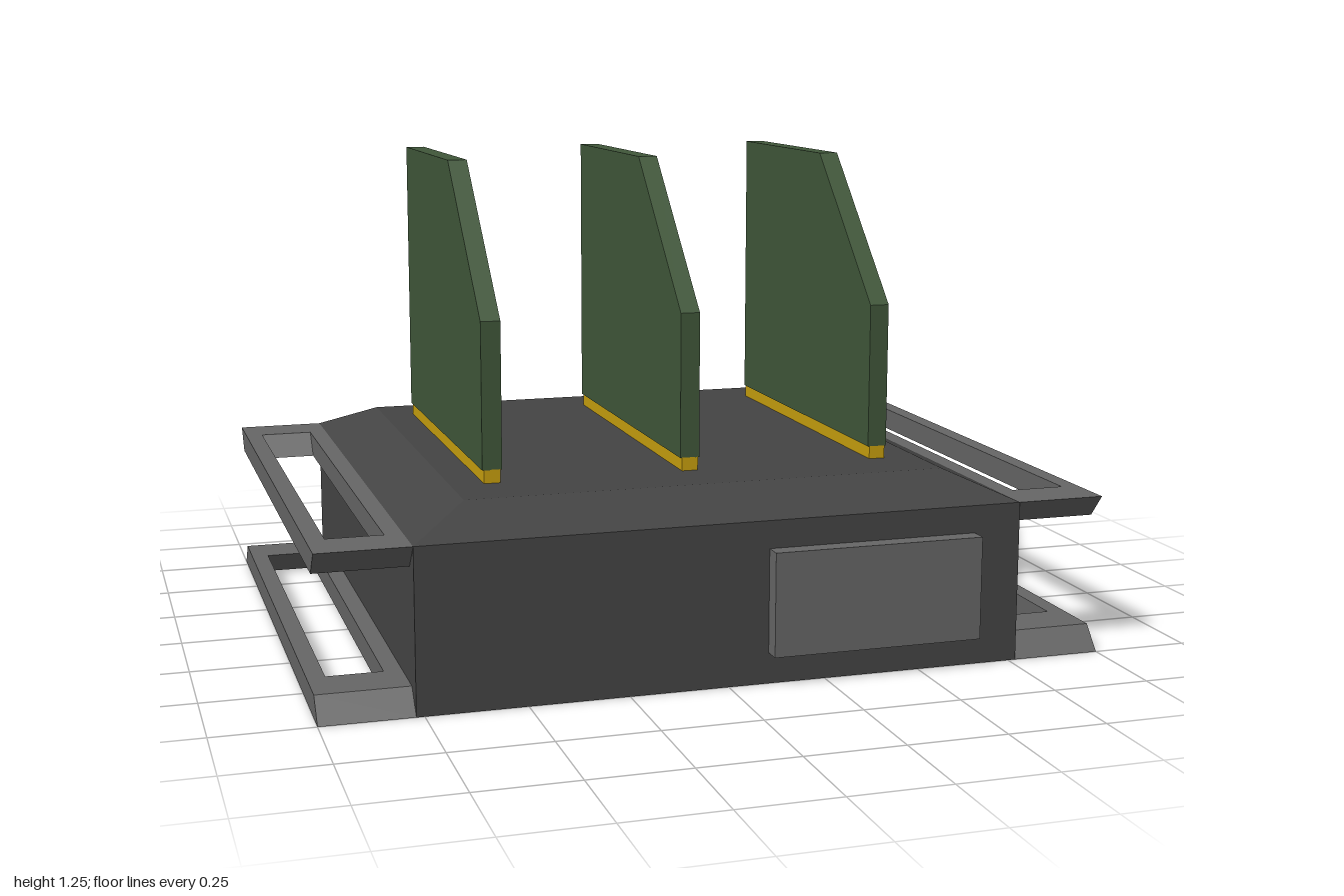
import * as THREE from 'three';

const mat = (color) => new THREE.MeshStandardMaterial({ color, flatShading: true });
const Z_MID = -0.02, HALF_Z = 0.77, HALF_X = 0.77;

function addMesh(parent, name, geometry, material, x = 0, y = 0, z = 0) {
  const mesh = new THREE.Mesh(geometry, material);
  mesh.name = name;
  mesh.position.set(x, y, z);
  parent.add(mesh);
  return mesh;
}

// Square housing whose uppermost ring is pulled in to form a bevelled lid
function housingGeometry() {
  const geo = new THREE.BoxGeometry(2 * HALF_X, 2, 2 * HALF_Z, 1, 2, 1).toNonIndexed();
  const p = geo.attributes.position;
  for (let i = 0; i < p.count; i++) {
    const row = Math.round(p.getY(i)) + 1;
    p.setY(i, [0, 0.41, 0.477][row]);
    if (row === 2) {
      p.setX(i, Math.sign(p.getX(i)) * 0.62);
      p.setZ(i, Math.sign(p.getZ(i)) * 0.625);
    }
  }
  geo.computeVertexNormals();
  return geo;
}

// Slotted side rail: end bars lean inward towards the narrow face
function railGeometry(narrowAtTop) {
  const height = 0.06, lean = 0.052;
  const rect = (Type, hx, hz) => new Type([
    new THREE.Vector2(-hx, -hz), new THREE.Vector2(hx, -hz),
    new THREE.Vector2(hx, hz), new THREE.Vector2(-hx, hz),
  ]);
  const shape = rect(THREE.Shape, 0.115, HALF_Z);
  shape.holes.push(rect(THREE.Path, 0.07, 0.64));
  const geo = new THREE.ExtrudeGeometry(shape, { depth: height, bevelEnabled: false });
  geo.rotateX(-Math.PI / 2);
  const p = geo.attributes.position;
  for (let i = 0; i < p.count; i++) {
    const isTop = p.getY(i) > height / 2;
    if (isTop === narrowAtTop) p.setZ(i, p.getZ(i) - Math.sign(p.getZ(i)) * lean);
  }
  geo.computeVertexNormals();
  return geo;
}

// Upright board with one corner cut off at the front
function boardGeometry(thickness) {
  const outline = [[0.447, 0.51], [0.447, 0.88], [0.078, 1.248], [-0.51, 1.248], [-0.51, 0.51]];
  const shape = new THREE.Shape(outline.map(([z, y]) => new THREE.Vector2(-z, y)));
  const geo = new THREE.ExtrudeGeometry(shape, { depth: thickness, bevelEnabled: false });
  geo.translate(0, 0, -thickness / 2);
  geo.rotateY(Math.PI / 2);
  return geo;
}

export function createModel() {
  const model = new THREE.Group();
  model.name = 'boardDock';
  const dark = mat(0x444444), grey = mat(0x666666);
  const green = mat(0x40573a), gold = mat(0xc8a00e);

  addMesh(model, 'housing', housingGeometry(), dark, 0, 0, Z_MID);
  addMesh(model, 'frontPanel', new THREE.BoxGeometry(0.545, 0.262, 0.05), grey, 0.375, 0.209, 0.77);

  // Upper and lower rails on both sides
  const upper = railGeometry(false), lower = railGeometry(true);
  for (const [side, sx] of [['left', 1], ['right', -1]]) {
    addMesh(model, side + 'UpperRail', upper, grey, sx * 0.885, 0.35, Z_MID);
    addMesh(model, side + 'LowerRail', lower, grey, sx * 0.885, 0, Z_MID);
  }

  // Three boards standing on gold contact strips
  const board = boardGeometry(0.05);
  const strip = new THREE.BoxGeometry(0.042, 0.04, 0.957);
  for (let i = -1; i <= 1; i++) {
    const slot = new THREE.Group();
    slot.name = 'board' + (i + 2);
    slot.position.x = -0.003 + i * 0.512;
    addMesh(slot, 'panel', board, green);
    addMesh(slot, 'contactStrip', strip, gold, 0, 0.491, -0.0315);
    model.add(slot);
  }
  return model;
}
